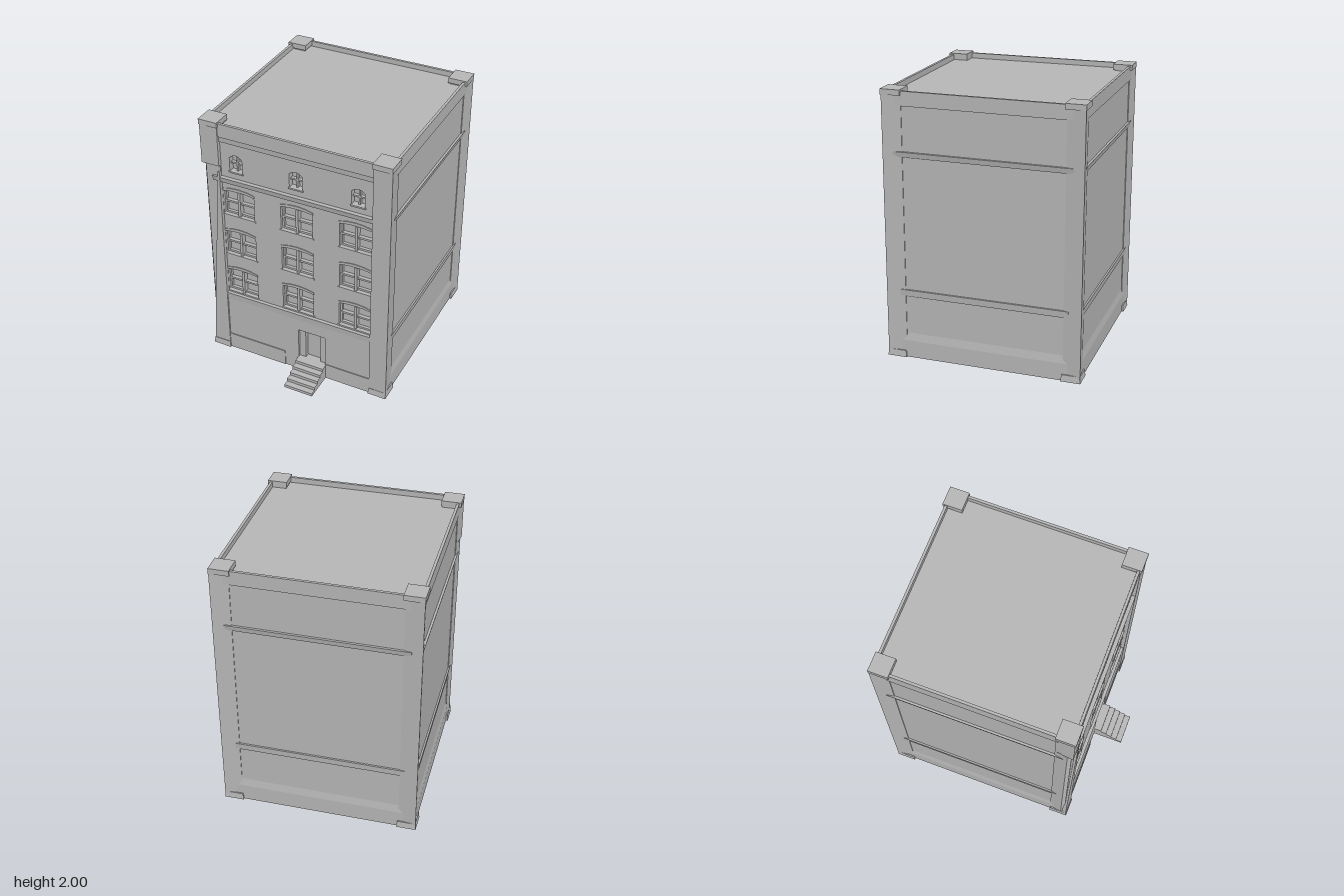
import * as THREE from 'three';

const stone = new THREE.MeshStandardMaterial({ color: 0xb6b6b6, flatShading: true });
stone.name = 'stone grey';

const poly = (pts) => new THREE.Shape(pts.map(([x, y]) => new THREE.Vector2(x, y)));
const extrude = (shape, depth) =>
  new THREE.ExtrudeGeometry(shape, { depth, bevelEnabled: false, curveSegments: 4 });

export function createModel() {
  const model = new THREE.Group();
  model.name = 'townhouse';
  const tower = new THREE.Group(); // square plan, centred on its own axis
  tower.name = 'tower';
  tower.position.z = -0.105;
  model.add(tower);

  const add = (name, geo, parent = model) => {
    const mesh = new THREE.Mesh(geo, stone);
    mesh.name = name;
    parent.add(mesh);
    return mesh;
  };
  // box given by its limits
  const box = (name, x0, x1, y0, y1, z0, z1, parent) =>
    add(name, new THREE.BoxGeometry(x1 - x0, y1 - y0, z1 - z0)
      .translate((x0 + x1) / 2, (y0 + y1) / 2, (z0 + z1) / 2), parent);
  // moulding profile (outward distance, height) run along chosen sides: 0 right, 1 back, 2 left, 3 front
  const around = (name, profile, half, sides = [0, 1, 2, 3]) => sides.forEach((k) =>
    add(name, extrude(poly(profile), half * 2).translate(0, 0, -half).rotateY(k * Math.PI / 2), tower));

  // solid core; its underside sits above the hollow base
  box('core', -0.705, 0.705, 0.13, 1.95, -0.81, 0.54);
  around('baseSkirt', [[0.695, 0], [0.715, 0], [0.715, 0.13], [0.705, 0.19], [0.695, 0.19]], 0.66, [0, 1, 2]);
  around('lowerBand', [[0.66, 0.48], [0.714, 0.48], [0.718, 0.53], [0.66, 0.53]], 0.63);
  around('upperBand', [[0.66, 1.52], [0.714, 1.52], [0.722, 1.56], [0.66, 1.56]], 0.65);
  around('parapet', [[0.695, 1.885], [0.715, 1.885], [0.715, 1.99], [0.695, 1.99]], 0.695);
  around('cornice', [[0.66, 1.84], [0.702, 1.84], [0.706, 1.885], [0.66, 1.885]], 0.6, [3]);

  // corner piers with caps and flared feet
  const pier = [[0.595, 0.595], [0.71, 0.595], [0.728, 0.728], [0.595, 0.71]];
  const pierFront = [[0.59, 0.585], [0.71, 0.585], [0.728, 0.724], [0.59, 0.722]];
  const cutPier = [[0.59, 0.585], [0.71, 0.585], [0.725, 0.68], [0.705, 0.705], [0.59, 0.705]];
  const upright = (name, pts, sx, sz, y0, y1) => {
    let p = pts.map(([x, z]) => [x * sx, -z * sz]);
    add(name, extrude(poly(p), y1 - y0).rotateX(-Math.PI / 2).translate(0, y0, 0), tower);
  };
  for (const sx of [-1, 1]) {
    for (const sz of [-1, 1]) {
      const cut = sx < 0 && sz > 0;
      upright('cornerPier', sz > 0 ? pierFront : pier, sx, sz, cut ? 1.65 : 0, 1.96);
      if (cut) upright('recessedPier', cutPier, sx, sz, 0, 1.65);
      const cap = box('pierCap', -0.0725, 0.0725, 1.96, 2, -0.0725, 0.0725, tower);
      cap.position.set(sx * 0.6575, 0, sz * 0.6575);
      const foot = new THREE.CylinderGeometry(0.095, 0.1025, 0.05, 4).rotateY(Math.PI / 4);
      add('pierFoot', foot.translate(sx * 0.6575, 0.025, sz * 0.6575), tower);
    }
  }
  // sloping buttress in front of the recessed pier
  add('slopingButtress',
    extrude(poly([[-0.725, 0.03], [-0.59, 0.03], [-0.59, 1.6], [-0.605, 1.6]]), 0.03).translate(0, 0, 0.587));

  // openings of the facade: rectangle with an optional arched head
  const opening = (x0, x1, y0, y1, rise) => {
    const p = new THREE.Path();
    p.moveTo(x0, y0);
    p.lineTo(x1, y0);
    p.lineTo(x1, y1);
    p.quadraticCurveTo((x0 + x1) / 2, y1 + rise * 2, x0, y1);
    p.closePath();
    return p;
  };

  // upper facade with nine paired windows and three attic windows
  const wall = poly([[-0.6, 0.5], [0.6, 0.5], [0.6, 1.95], [-0.6, 1.95]]);
  const columns = [-0.463, 0, 0.457];
  const rows = [0.545, 0.89, 1.24];
  for (const x of columns) {
    for (const y of rows) {
      wall.holes.push(opening(x - 0.125, x + 0.125, y, y + 0.195, 0.012));
      box('windowSill', x - 0.135, x + 0.135, y - 0.012, y, 0.575, 0.592);
      box('windowPost', x - 0.01, x + 0.01, y, y + 0.2, 0.535, 0.582);
      for (const s of [-1, 1]) {
        const c = x + s * 0.068;
        box('meetingRail', c - 0.06, c + 0.06, y + 0.095, y + 0.11, 0.535, 0.567);
        box('bottomRail', c - 0.06, c + 0.06, y, y + 0.015, 0.535, 0.562);
        box('sashStile', x + s * 0.119 - 0.007, x + s * 0.119 + 0.007, y, y + 0.195, 0.535, 0.562);
      }
      // shallow arched lintel
      const lintel = new THREE.Shape();
      lintel.moveTo(x - 0.13, y + 0.2);
      lintel.quadraticCurveTo(x, y + 0.228, x + 0.13, y + 0.2);
      lintel.lineTo(x + 0.13, y + 0.215);
      lintel.quadraticCurveTo(x, y + 0.255, x - 0.13, y + 0.215);
      add('windowLintel', extrude(lintel, 0.012).translate(0, 0, 0.58));
    }
  }
  for (const x of [-0.47, 0, 0.47]) {
    wall.holes.push(opening(x - 0.05, x + 0.05, 1.615, 1.725, 0.025));
    box('atticSill', x - 0.058, x + 0.058, 1.605, 1.617, 0.575, 0.594);
    box('atticMullion', x - 0.006, x + 0.006, 1.615, 1.745, 0.535, 0.565);
    box('atticRail', x - 0.05, x + 0.05, 1.67, 1.682, 0.535, 0.565);
  }
  add('upperFacade', extrude(wall, 0.055).translate(0, 0, 0.532));

  // ground floor facade with doorway
  const ground = poly([[-0.6, 0], [0.6, 0], [0.6, 0.5], [-0.6, 0.5]]);
  ground.holes.push(opening(0.005, 0.225, 0.12, 0.38, 0));
  add('groundFacade', extrude(ground, 0.073).translate(0, 0, 0.532));
  for (const x of [-0.36, 0.41]) {
    const w = x < 0 ? 0.25 : 0.18;
    box('groundPlinth', x - w, x + w, 0, 0.13, 0.6, 0.611);
  }
  box('door', 0.055, 0.175, 0.12, 0.375, 0.53, 0.55);
  for (const x of [0.005, 0.175]) box('doorJamb', x, x + 0.05, 0.12, 0.38, 0.53, 0.585);

  // entrance steps
  const n = 5;
  const profile = [[0.6, 0]];
  for (let i = 0; i < n; i++) {
    const z = 0.838 - i * 0.045;
    profile.push([z, i * 0.024], [z, (i + 1) * 0.024]);
  }
  profile.push([0.6, n * 0.024]);
  add('entranceSteps', extrude(poly(profile), 0.23).rotateY(-Math.PI / 2).translate(0.232, 0, 0));

  return model;
}
